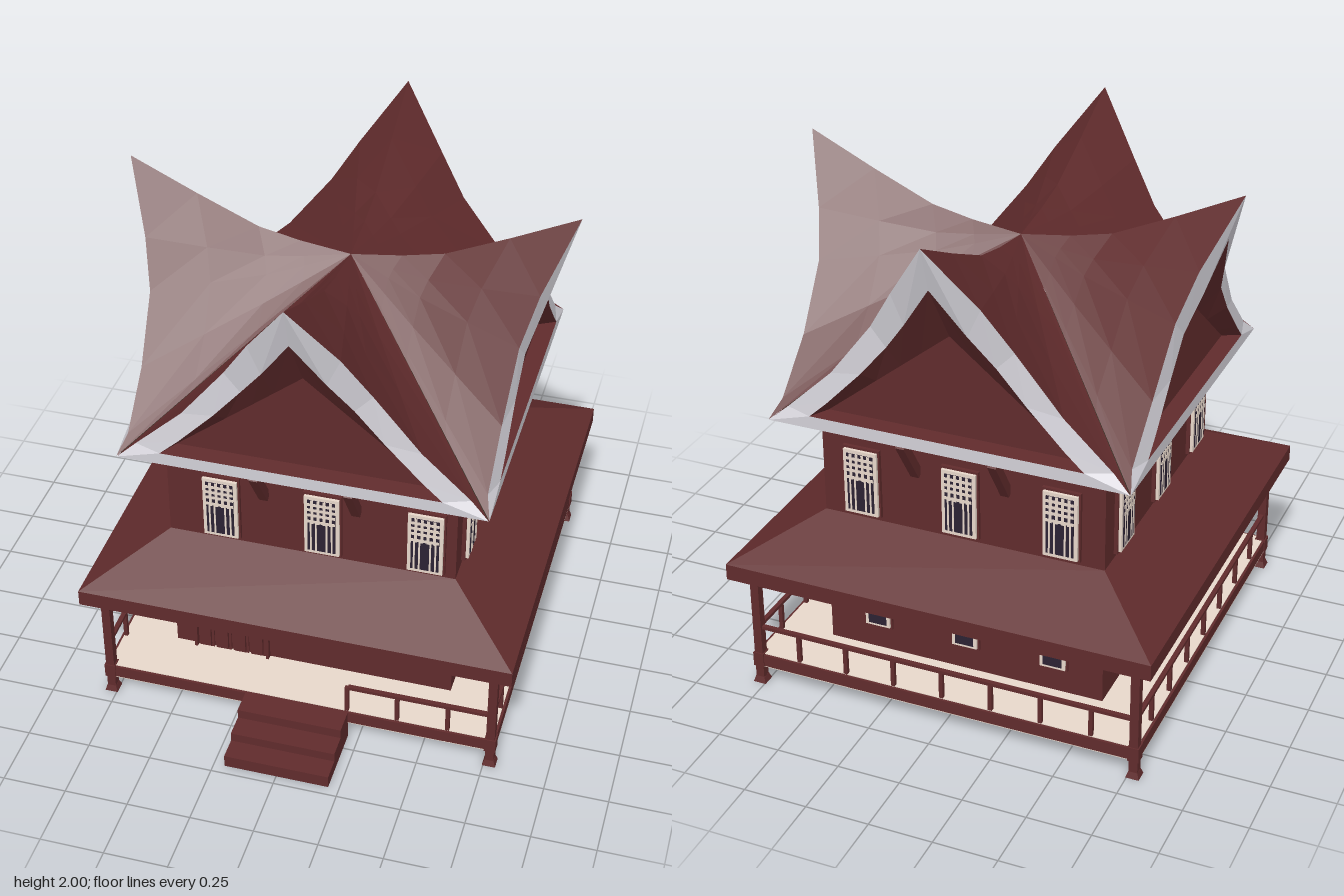
import * as THREE from 'three';

const material = (name, color) => {
  const m = new THREE.MeshStandardMaterial({ color, side: THREE.DoubleSide });
  m.name = name;
  return m;
};

export function createModel() {
  const red = material('dark red timber', 0x602b2c);
  const grey = material('pale grey trim', 0xd2d0d7);
  const beige = material('beige', 0xe8d8cb);
  const glass = material('dark glass', 0x2b2233);
  const soffitDark = material('dark soffit', 0x323024);

  const model = new THREE.Group();
  model.name = 'house';
  const house = new THREE.Group();
  house.name = 'building';
  house.position.z = -0.105;
  model.add(house);

  const add = (parent, name, geo, mat, x = 0, y = 0, z = 0) => {
    const mesh = new THREE.Mesh(geo, mat);
    mesh.name = name;
    mesh.position.set(x, y, z);
    parent.add(mesh);
    return mesh;
  };
  const box = (parent, name, mat, w, h, d, x, y, z) =>
    add(parent, name, new THREE.BoxGeometry(w, h, d), mat, x, y, z);

  // square block that may taper, given by half widths and heights
  const block = (parent, name, mat, half0, y0, half1, y1, x = 0, z = 0) => {
    const geo = new THREE.CylinderGeometry(half1 * Math.SQRT2, half0 * Math.SQRT2, y1 - y0, 4)
      .rotateY(Math.PI / 4).toNonIndexed();
    geo.computeVertexNormals();
    return add(parent, name, geo, mat, x, (y0 + y1) / 2, z);
  };

  // faceted surface across rows of points
  const sheet = (parent, name, mat, rows) => {
    const pos = [];
    for (let i = 0; i + 1 < rows.length; i++) {
      for (let j = 0; j + 1 < rows[i].length; j++) {
        const a = rows[i][j], b = rows[i][j + 1], c = rows[i + 1][j + 1], d = rows[i + 1][j];
        pos.push(...a, ...b, ...c, ...a, ...c, ...d);
      }
    }
    const geo = new THREE.BufferGeometry();
    geo.setAttribute('position', new THREE.Float32BufferAttribute(pos, 3));
    geo.computeVertexNormals();
    return add(parent, name, geo, mat);
  };

  // deck and walls
  block(house, 'deckRim', red, 0.79, 0.08, 0.79, 0.129);
  box(house, 'deckFloor', beige, 1.56, 0.004, 1.56, 0, 0.13, 0);
  box(house, 'deckUnderside', beige, 1.58, 0.004, 1.58, 0, 0.079, 0);
  block(house, 'walls', red, 0.565, 0.13, 0.565, 1.12);
  block(house, 'eaveSoffit', soffitDark, 0.6, 1.095, 0.7, 1.134);

  // corner posts with flared feet
  for (const x of [-0.772, 0.772]) {
    for (const z of [-0.772, 0.772]) {
      block(house, 'cornerPost', red, 0.017, 0.02, 0.017, 0.52, x, z);
      block(house, 'postFoot', red, 0.026, 0, 0.018, 0.025, x, z);
      block(house, 'postCollar', red, 0.022, 0.075, 0.022, 0.135, x, z);
    }
  }

  // front steps
  [[0.785, 0.13], [0.875, 0.09], [0.962, 0.052]].forEach(([z, h], i) =>
    box(model, 'step' + (i + 1), red, 0.415, h, z - 0.68, 0, h / 2, (z + 0.68) / 2));

  const upperWindow = (parent, x) => {
    const g = new THREE.Group();
    g.name = 'upperWindow';
    g.position.set(x, 0.872, 0.565);
    parent.add(g);
    box(g, 'windowFrame', red, 0.15, 0.285, 0.03, 0, 0, 0);
    box(g, 'windowSurround', beige, 0.136, 0.268, 0.028, 0, 0, 0.013);
    box(g, 'windowPane', glass, 0.108, 0.24, 0.004, 0, 0, 0.028);
    // dense lattice above, slim bars beside a clear centre below
    for (const bx of [-0.036, -0.012, 0.012, 0.036]) {
      box(g, 'latticeBar', beige, 0.011, 0.11, 0.004, bx, 0.065, 0.03);
    }
    for (const by of [0.1, 0.075, 0.05, 0.02]) {
      box(g, 'latticeRail', beige, 0.108, 0.012, 0.004, 0, by, 0.03);
    }
    for (const bx of [-0.041, -0.021, 0.021, 0.041]) {
      box(g, 'windowBar', beige, 0.007, 0.135, 0.004, bx, -0.052, 0.03);
    }
  };

  const lowerWindow = (parent, x) => {
    const g = new THREE.Group();
    g.name = 'lowerWindow';
    g.position.set(x, 0.346, 0.565);
    parent.add(g);
    box(g, 'windowFrame', red, 0.116, 0.228, 0.02, 0, 0, 0);
    box(g, 'windowSurround', beige, 0.102, 0.21, 0.02, 0, 0, 0.009);
    box(g, 'transom', glass, 0.06, 0.018, 0.004, 0, 0.086, 0.02);
    box(g, 'windowPane', glass, 0.074, 0.145, 0.004, 0, -0.022, 0.02);
    for (const bx of [-0.02, 0, 0.02]) {
      box(g, 'latticeBar', beige, 0.007, 0.045, 0.004, bx, 0.028, 0.022);
    }
    for (const by of [0.036, 0.014]) {
      box(g, 'latticeRail', beige, 0.074, 0.009, 0.004, 0, by, 0.022);
    }
  };

  const railing = (parent, x0, x1) => {
    box(parent, 'handrail', red, x1 - x0, 0.013, 0.018, (x0 + x1) / 2, 0.25, 0.772);
    for (let i = -3; i <= 3; i++) {
      const x = i * 0.2;
      if (x > x0 - 0.03 && x < x1) box(parent, 'railPost', red, 0.016, 0.12, 0.016, x, 0.19, 0.772);
    }
  };

  // gable curves, one half: [x, y, z]
  const outer = [[0, 2, 0.855], [0.17, 1.76, 0.75], [0.275, 1.595, 0.703], [0.45, 1.37, 0.687],
    [0.635, 1.195, 0.684], [0.706, 1.135, 0.708]];
  const inner = [[0, 1.825, 0.8], [0.12, 1.65, 0.752], [0.21, 1.53, 0.715], [0.32, 1.4, 0.709],
    [0.46, 1.255, 0.709], [0.535, 1.185, 0.708]];
  const recess = inner.map(([x]) => {
    const t = x / 0.535;
    return [0.49 * t, 1.58 - 0.39 * t, 0.64];
  });
  // roof rows from the centre out to the gable edge, sagging along the ridge
  const roofRows = [[0, 0], [0.23, 0.04], [0.42, 0.06], [0.7, 0.035], [1, 0]].map(([s, sag]) =>
    outer.map(([x, y, z], i) => [x * s, 1.71 + (y - 1.71) * s - sag * (1 - i / 5) ** 2, z * s]));

  for (let k = 0; k < 4; k++) {
    const side = new THREE.Group();
    side.name = ['front', 'left', 'back', 'right'][k] + 'Side';
    side.rotation.y = k * Math.PI / 2;
    house.add(side);

    // gable roof halves, trim and recess
    for (const s of [1, -1]) {
      const flip = (row) => row.map(([x, y, z]) => [s * x, y, z]);
      sheet(side, 'gableRoof', red, roofRows.map(flip));
      sheet(side, 'gableTrim', grey, [outer, inner].map(flip));
      sheet(side, 'gableLining', red, [inner, recess].map(flip));
    }
    const span = ([x, y, z]) => [[-x, y, z], [x, y, z]];
    sheet(side, 'eaveTrim', grey, [span(outer[5]), span(inner[5])]);
    sheet(side, 'gableLedge', red, [span(inner[5]), span(recess[5])]);
    sheet(side, 'pediment', red, [span(recess[5]), span(recess[0])]);

    // veranda roof: sloping underside, fascia and sloping top
    sheet(side, 'verandaRoof', red,
      [[0.565, 0.645], [0.85, 0.49], [0.85, 0.555], [0.565, 0.71]].map(([h, y]) => span([h, y, h])));

    // eave braces
    for (const x of [-0.18, 0.18]) {
      const brace = box(side, 'eaveBrace', red, 0.034, 0.215, 0.036, x, 1.04, 0.624);
      brace.rotation.x = 0.58;
    }

    (k === 0 ? [-0.35, 0.05, 0.45] : [-0.4, 0, 0.4]).forEach((x) => upperWindow(side, x));
    (k === 0 ? [0.05, 0.365] : [-0.356, 0.01, 0.37]).forEach((x) => lowerWindow(side, x));
    railing(side, k === 0 ? 0.205 : -0.772, 0.772);
  }

  // folding front door with four panelled leaves
  const door = new THREE.Group();
  door.name = 'frontDoor';
  door.position.set(-0.33, 0, 0.565);
  house.add(door);
  box(door, 'doorLintel', red, 0.31, 0.016, 0.044, 0, 0.479, 0);
  for (const x of [-0.149, 0.149]) box(door, 'doorJamb', red, 0.012, 0.341, 0.044, x, 0.3, 0);
  for (let i = 0; i < 4; i++) {
    const x = (i - 1.5) * 0.072;
    box(door, 'doorLeaf', red, 0.064, 0.335, 0.016, x, 0.299, 0);
    for (const [y, h] of [[0.39, 0.13], [0.295, 0.032], [0.2, 0.11]]) {
      box(door, 'doorPanel', red, 0.044, h, 0.016, x, y, 0.014);
    }
  }

  return model;
}
